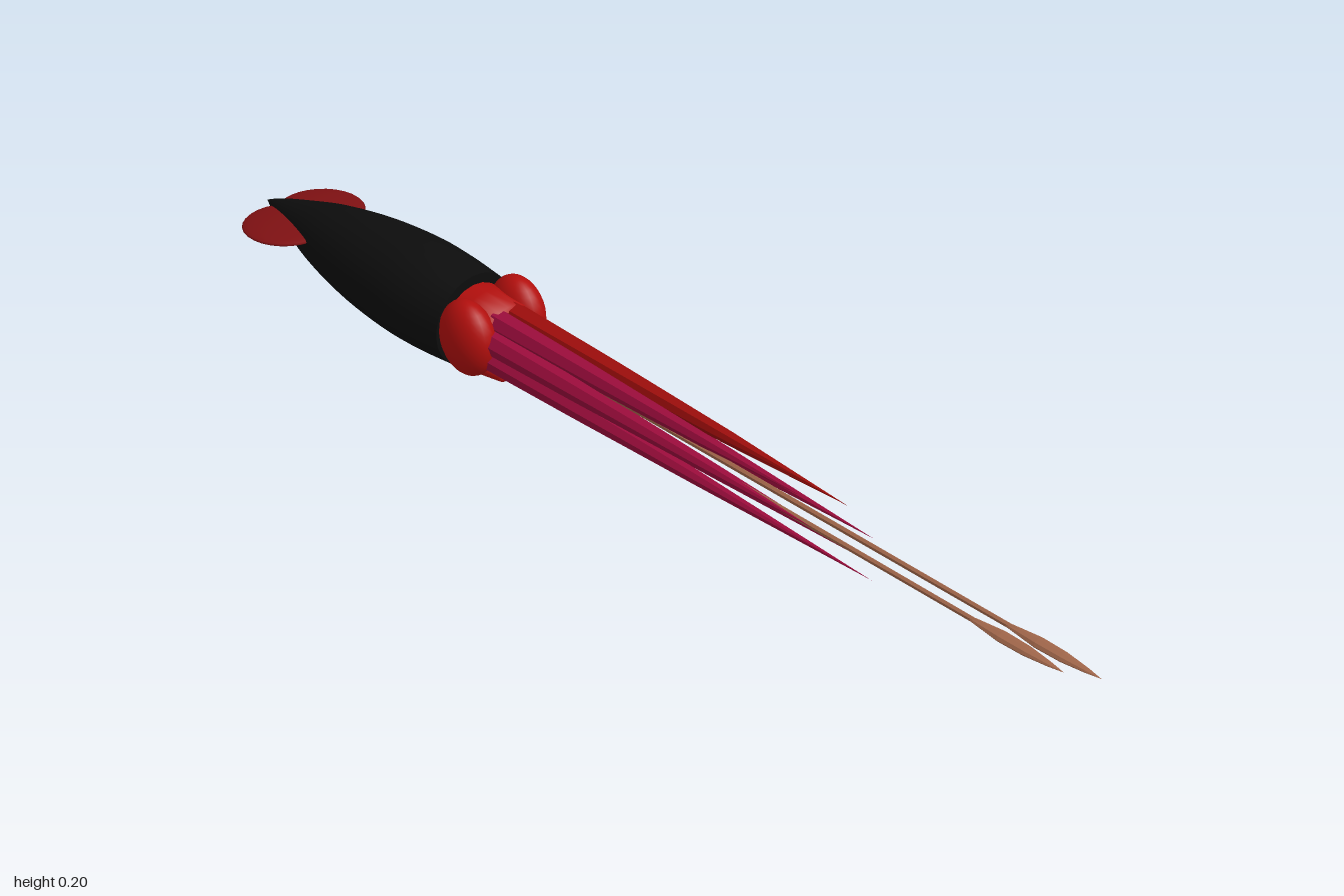
import * as THREE from 'three';

const mat = (name, color, extra = {}) => {
  const m = new THREE.MeshStandardMaterial({ color, ...extra });
  m.name = name;
  return m;
};

export function createModel() {
  const group = new THREE.Group();
  const black = mat('mantleBlack', 0x0d0d0d);
  const red = mat('skinRed', 0xb20f0d);
  const armRed = mat('armRed', 0x9e0d0b, { flatShading: true });
  const magenta = mat('armMagenta', 0x9c0c3c, { flatShading: true });
  const finRed = mat('finRed', 0x801113);
  const tan = mat('tentacleTan', 0xa0664a, { flatShading: true });
  const axisY = 0.1;

  const add = (name, geo, material, x = 0, y = 0, z = 0) => {
    const mesh = new THREE.Mesh(geo, material);
    mesh.name = name;
    mesh.position.set(x, y, z);
    group.add(mesh);
    return mesh;
  };

  // Solid of revolution about z, from [radius, z] pairs running back to front
  const lathe = (points, sides) =>
    new THREE.LatheGeometry(points.map(([r, z]) => new THREE.Vector2(r, z)), sides).rotateX(Math.PI / 2);

  // Mantle: a torpedo with its point at the back and a closed front rim
  const curve = new THREE.SplineCurve([
    [0, -1], [0.018, -0.96], [0.041, -0.89], [0.067, -0.8], [0.087, -0.69],
    [0.097, -0.58], [0.097, -0.5], [0.09, -0.412],
  ].map(p => new THREE.Vector2(...p)));
  const outline = curve.getPoints(28).map(p => [Math.max(p.x, 0), p.y]);
  add('mantle', lathe(outline, 28), black, 0, axisY);
  add('mantleRim', new THREE.CircleGeometry(0.09, 28), black, 0, axisY, -0.412);

  // Head, covering the bases of the arms
  add('head', lathe([[0.07, -0.44], [0.073, -0.38], [0.066, -0.32], [0, -0.315]], 20), red, 0, axisY);

  for (const s of [1, -1]) {
    const side = s > 0 ? 'left' : 'right';
    // Bulging eyes
    add(side + 'Eye', new THREE.SphereGeometry(1, 24, 16).scale(0.041, 0.074, 0.062), red, s * 0.059, 0.111, -0.362);
    // Rounded fins, tipped up towards the front
    const fin = add(side + 'Fin', new THREE.SphereGeometry(1, 28, 12).scale(0.08, 0.01, 0.092), finRed, s * 0.04, 0.108, -0.89);
    fin.rotation.x = -0.09;
  }

  // Siphon under the head, with a dark opening
  add('siphon', lathe([[0.032, -0.44], [0.026, -0.39], [0.017, -0.33], [0.011, -0.33]], 12).scale(1.15, 0.85, 1), red, 0, 0.021);
  add('siphonOpening', new THREE.CircleGeometry(0.012, 12).scale(1.15, 0.85, 1), black, 0, 0.021, -0.331);

  // Eight tapering arms in a ring; the upper left pair is red
  const tipByHeight = [0.4, 0.45, 0.51, 0.56];
  for (let i = 0; i < 8; i++) {
    const a = (i + 0.5) * Math.PI / 4;
    const row = [1, 0, 0, 1, 2, 3, 3, 2][i];
    const tip = tipByHeight[row];
    const profile = [[0, -0.33], [0.024, -0.33], [0.0195, -0.1], [0.012, 0.18], [0, tip]];
    add('arm' + (i + 1), lathe(profile, 7).rotateZ(a), i < 2 ? armRed : magenta,
      Math.cos(a) * 0.046, 0.098 + Math.sin(a) * 0.046);
  }

  // Mouth between the arms
  add('mouth', new THREE.SphereGeometry(0.02, 12, 8), black, 0, 0.098, -0.32);

  // Two long feeding tentacles ending in flattened clubs
  for (const [name, x, tip] of [['left', 0.015, 1], ['right', -0.014, 0.95]]) {
    const y = 0.09;
    const stalk = [[0, -0.32], [0.006, -0.32], [0.0045, tip - 0.14], [0, tip - 0.13]];
    add(name + 'Tentacle', lathe(stalk, 6), tan, x, y);
    const club = [[0, tip - 0.21], [0.006, tip - 0.18], [0.013, tip - 0.125], [0.012, tip - 0.075], [0.006, tip - 0.03], [0, tip]];
    add(name + 'Club', lathe(club, 8).scale(1, 0.55, 1), tan, x, y);
  }

  return group;
}
